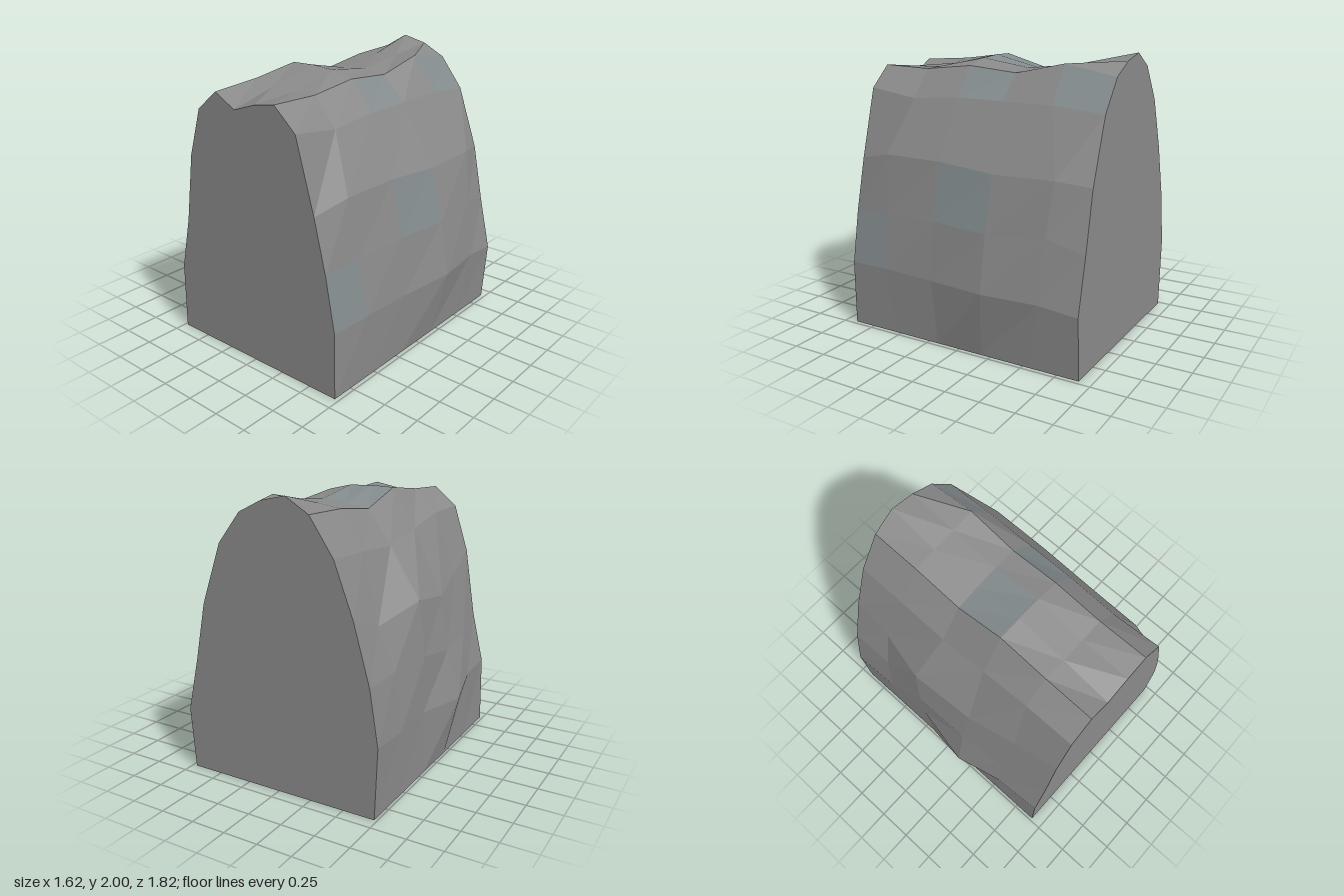
import * as THREE from 'three';

// Ring positions from front to back
const RING_Z = [0.91, 0.545, 0.18, -0.18, -0.545, -0.91];

// Crown: fixed x columns, one row of heights per ring
const CROWN_X = [0.42, 0.25, 0.08, -0.1, -0.27, -0.44];
const CROWN_Y = [
  [1.71, 1.86, 1.83, 1.77, 1.86, 1.72],
  [1.66, 1.85, 1.85, 1.86, 1.885, 1.72],
  [1.69, 1.89, 1.93, 1.94, 1.935, 1.66],
  [1.69, 1.86, 1.88, 1.86, 1.835, 1.6],
  [1.69, 1.94, 1.92, 1.91, 1.885, 1.63],
  [1.66, 1.875, 1.96, 2.0, 1.9, 1.65],
];

// Flanks: [x, y, z] per ring, lowest point first
const LEFT_FLANK = [
  [[0.72, 0.47, 0.91], [0.65, 0.85, 0.91], [0.56, 1.22, 0.91]],
  [[0.74, 0.48, 0.6], [0.67, 0.87, 0.62], [0.61, 1.28, 0.65]],
  [[0.75, 0.47, 0.2], [0.7, 0.88, 0.21], [0.62, 1.28, 0.2]],
  [[0.81, 0.48, -0.23], [0.74, 0.87, -0.23], [0.645, 1.25, -0.23]],
  [[0.76, 0.47, -0.63], [0.7, 0.9, -0.65], [0.64, 1.26, -0.68]],
  [[0.75, 0.44, -0.91], [0.66, 0.82, -0.91], [0.575, 1.23, -0.91]],
];
const RIGHT_FLANK = [
  [[-0.72, 0.5, 0.91], [-0.63, 0.88, 0.91], [-0.55, 1.38, 0.91]],
  [[-0.74, 0.5, 0.57], [-0.69, 0.82, 0.57], [-0.59, 1.27, 0.58]],
  [[-0.815, 0.44, 0.22], [-0.72, 0.8, 0.2], [-0.65, 1.19, 0.22]],
  [[-0.73, 0.47, -0.21], [-0.73, 0.88, -0.21], [-0.69, 1.27, -0.24]],
  [[-0.74, 0.47, -0.57], [-0.69, 0.88, -0.58], [-0.59, 1.18, -0.62]],
  [[-0.75, 0.5, -0.91], [-0.69, 0.88, -0.91], [-0.575, 1.29, -0.91]],
];

// One arch-shaped cross-section, from the left foot over the crown to the right foot
function makeRing(i) {
  const z = RING_Z[i];
  return [
    [0.72, 0, z],
    ...LEFT_FLANK[i],
    ...CROWN_X.map((x, c) => [x, CROWN_Y[i][c], z]),
    ...[...RIGHT_FLANK[i]].reverse(),
    [-0.73, 0, z],
  ];
}

// Faces with the cooler tint, as "ring,strip"
const COOL = new Set(['2,2', '0,1', '2,4', '4,4', '2,7', '2,6']);

// Flat-faced skin between the rings, with the tinted faces in a second group
function makeSkin(rings) {
  const plain = [];
  const cool = [];
  for (let i = 0; i < rings.length - 1; i++) {
    for (let j = 0; j < rings[i].length - 1; j++) {
      const a = rings[i][j], b = rings[i + 1][j];
      const c = rings[i + 1][j + 1], d = rings[i][j + 1];
      (COOL.has(`${i},${j}`) ? cool : plain).push(...a, ...b, ...c, ...a, ...c, ...d);
    }
  }
  const geometry = new THREE.BufferGeometry();
  geometry.setAttribute('position', new THREE.Float32BufferAttribute([...plain, ...cool], 3));
  geometry.addGroup(0, plain.length / 3, 0);
  geometry.addGroup(plain.length / 3, cool.length / 3, 1);
  geometry.computeVertexNormals();
  return geometry;
}

// Flat end wall filling one ring; side is 1 for the front, -1 for the back
function makeEnd(ring, side) {
  const shape = new THREE.Shape(ring.map(([x, y]) => new THREE.Vector2(x * side, y)));
  const geometry = new THREE.ShapeGeometry(shape);
  if (side < 0) geometry.rotateY(Math.PI);
  return geometry.translate(0, 0, ring[0][2]);
}

export function createModel() {
  const options = { flatShading: true, side: THREE.DoubleSide };
  const stone = new THREE.MeshStandardMaterial({ color: 0x89898a, ...options });
  stone.name = 'stone grey';
  const coolStone = new THREE.MeshStandardMaterial({ color: 0x838b8d, ...options });
  coolStone.name = 'cool stone grey';

  const group = new THREE.Group();
  group.name = 'rockSegment';
  const add = (name, geometry, material) => {
    const mesh = new THREE.Mesh(geometry, material);
    mesh.name = name;
    group.add(mesh);
  };

  const rings = RING_Z.map((_, i) => makeRing(i));
  add('rockSkin', makeSkin(rings), [stone, coolStone]);
  add('frontWall', makeEnd(rings[0], 1), stone);
  add('backWall', makeEnd(rings[rings.length - 1], -1), stone);
  return group;
}
